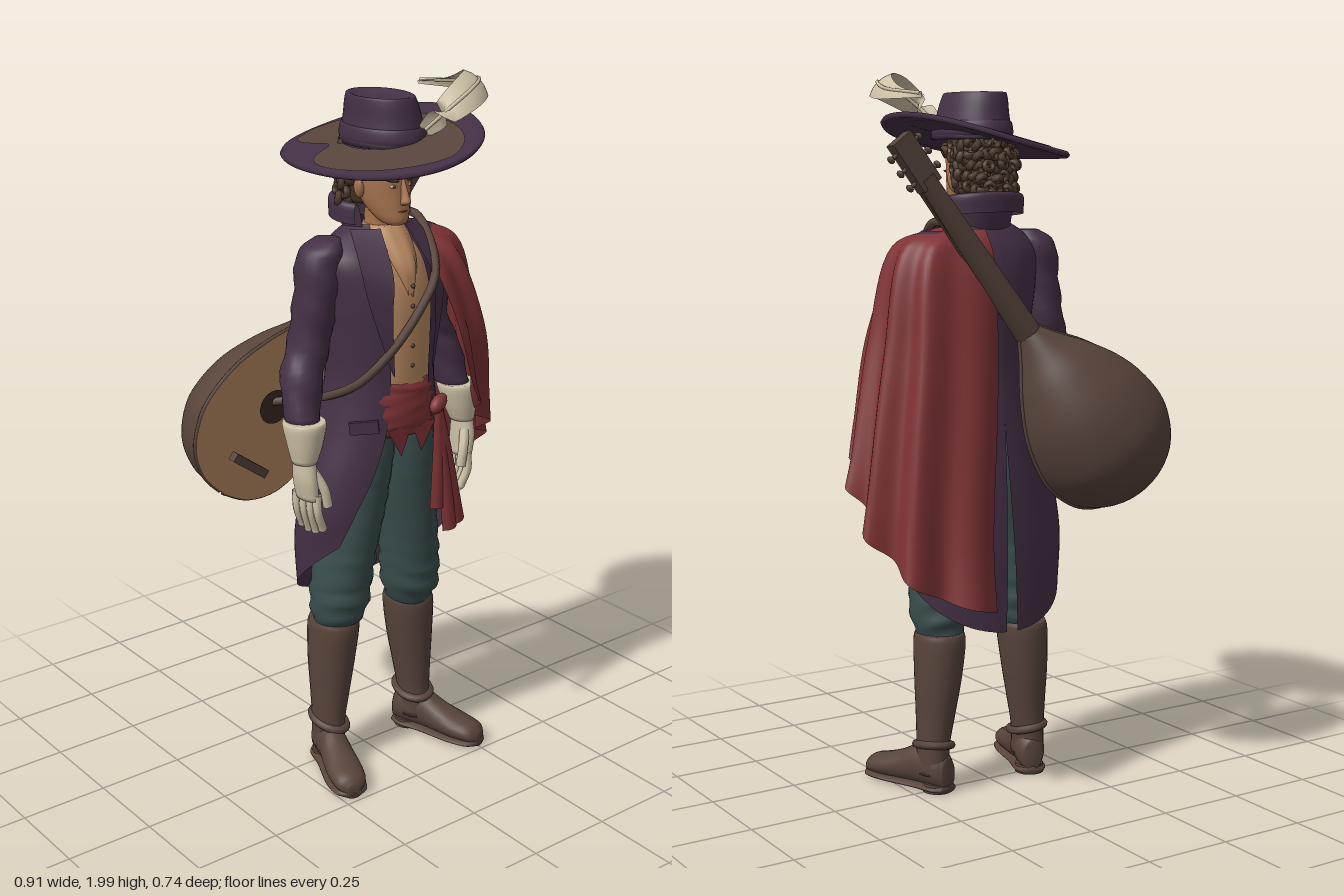
import * as THREE from 'three';

const mat = (name, color) => new THREE.MeshStandardMaterial({ name, color, side: THREE.DoubleSide });
const V = (x, y, z) => new THREE.Vector3(x, y, z);
const CX = 0.02; // body centre line

// Surface through a grid of points; rows run from top to bottom, columns counter-clockwise.
function skin(grid, closed = false, caps = false) {
  const pos = [], idx = [], n = grid[0].length, m = grid.length;
  grid.forEach(r => r.forEach(p => pos.push(p.x, p.y, p.z)));
  for (let j = 0; j < m - 1; j++) for (let i = 0; i < (closed ? n : n - 1); i++) {
    const k = (i + 1) % n, a = j * n + i, b = j * n + k;
    idx.push(a, a + n, b, b, a + n, b + n);
  }
  if (caps) [0, m - 1].forEach((j, top) => {
    const c = grid[j].reduce((s, p) => s.add(p), V(0, 0, 0)).divideScalar(n), ci = pos.length / 3;
    pos.push(c.x, c.y, c.z);
    for (let i = 0; i < n; i++) {
      const a = j * n + i, b = j * n + (i + 1) % n;
      top ? idx.push(ci, b, a) : idx.push(ci, a, b);
    }
  });
  const g = new THREE.BufferGeometry();
  g.setAttribute('position', new THREE.Float32BufferAttribute(pos, 3));
  g.setIndex(idx);
  g.computeVertexNormals();
  return g;
}
const spline = (pts, n) => new THREE.CatmullRomCurve3(pts).getPoints(n);
function smoothCols(grid, n) {
  const cols = grid[0].map((_, i) => spline(grid.map(r => r[i]), n));
  return cols[0].map((_, j) => cols.map(c => c[j]));
}
// Stacked ellipses [x, y, z, rx, rz], listed top to bottom.
function rings(list, n = 22, fold = () => 0) {
  const grid = list.map(([x, y, z, rx, rz]) => Array.from({ length: n }, (_, i) => {
    const t = i / n * Math.PI * 2;
    return V(x + rx * Math.sin(t), y, z + rz * Math.cos(t));
  }));
  const g = smoothCols(grid, list.length * 4);
  g.forEach(r => r.forEach((p, i) => { p.z += fold(p.y, i / n * Math.PI * 2); }));
  return skin(g, true, true);
}
// Flat band along a path; half width w(t), lying square to up.
function ribbon(path, w, up, n = 24) {
  const c = new THREE.CatmullRomCurve3(path);
  return skin(Array.from({ length: n + 1 }, (_, i) => {
    const t = i / n, p = c.getPoint(t), s = c.getTangent(t).cross(up).normalize();
    return [-1, -0.5, 0, 0.5, 1].map(k => p.clone().addScaledVector(s, k * w(t)).addScaledVector(up, -0.012 * k * k));
  }));
}

export function createModel() {
  const M = {
    purple: mat('purple cloth', 0x443045), red: mat('red cloth', 0x7f3336), brown: mat('brown leather', 0x57443b),
    teal: mat('teal cloth', 0x3a4d4e), tan: mat('tan cloth and wood', 0xb78860), cream: mat('cream', 0xcdc1a6),
    skin: mat('skin', 0xa87450), hair: mat('dark hair', 0x4e3a2c), dark: mat('dark wood', 0x3a2a25),
  };
  const root = new THREE.Group();
  const add = (name, geo, m, parent = root, at = [0, 0, 0], rot = [0, 0, 0], scl = [1, 1, 1]) => {
    const o = new THREE.Mesh(geo, m);
    o.name = name;
    o.position.set(...at); o.rotation.set(...rot); o.scale.set(...scl);
    parent.add(o);
    return o;
  };
  const tube = (pts, r, n = 20) => new THREE.TubeGeometry(new THREE.CatmullRomCurve3(pts), n, r, 8);
  const ball = new THREE.SphereGeometry(1, 14, 10);

  // Torso: waistcoat, sash, neck and neckerchief
  add('waistcoat', rings([[CX, 1.585, 0.04, 0.05, 0.05], [CX, 1.54, 0.045, 0.11, 0.09], [CX, 1.44, 0.055, 0.135, 0.122],
    [CX, 1.3, 0.06, 0.135, 0.127], [CX, 1.12, 0.06, 0.13, 0.125]]), M.tan);
  for (let i = 0; i < 5; i++) add('waistcoatButton', ball, M.hair, root, [CX, 1.23 + i * 0.055, 0.186], [0, 0, 0], [0.006, 0.006, 0.006]);
  add('sash', rings([[CX, 1.185, 0.06, 0.13, 0.126], [CX, 1.15, 0.06, 0.138, 0.134], [CX, 1.06, 0.06, 0.142, 0.134], [CX, 1.03, 0.06, 0.14, 0.122]],
    32, (y, t) => 0.004 * Math.sin(y * 190 + Math.sin(t) * 4)), M.red);
  for (const s of [-1, 1]) add('waistcoatPoint', new THREE.ShapeGeometry(new THREE.Shape(
    [[0, 1.06], [s * 0.085, 1.06], [s * 0.035, 0.975]].map(p => new THREE.Vector2(...p)))), M.red, root, [CX, 0, 0.186]);
  add('sashKnot', ball, M.red, root, [0.115, 1.1, 0.185], [0, 0.3, 0.5], [0.036, 0.022, 0.02]);
  [[0.1, 0.8, 0.215], [0.14, 0.73, 0.225], [0.19, 0.73, 0.2]].forEach(([x, y, z]) => add('sashTail',
    ribbon([V(0.115, 1.1, 0.195), V(0.09 + x * 0.25, 0.98, 0.2), V(x, y, z)], t => 0.014 + 0.012 * t, V(0, 0, 1)), M.red));
  add('neck', rings([[0.015, 1.68, 0.06, 0.045, 0.05], [0.017, 1.6, 0.05, 0.043, 0.047], [CX, 1.53, 0.055, 0.06, 0.06]]), M.skin);
  add('neckerchief', rings([[CX, 1.6, 0.055, 0.05, 0.055], [CX, 1.57, 0.065, 0.062, 0.07], [CX, 1.5, 0.1, 0.05, 0.08], [CX, 1.42, 0.15, 0.015, 0.03]],
    22, (y, t) => 0.004 * Math.sin(t * 8)), M.tan);

  // Coat: half shells with a cutaway front and a slit tail [y, rx, rz, z, front gap, back slit, hem slope]
  const coat = [[1.6, 0.07, 0.06, 0.02, 0.045, 0, 0], [1.565, 0.132, 0.085, 0.02, 0.052, 0, 0], [1.515, 0.178, 0.12, 0.03, 0.064, 0, 0],
    [1.42, 0.174, 0.145, 0.037, 0.072, 0, 0], [1.3, 0.16, 0.146, 0.044, 0.067, 0, 0], [1.18, 0.154, 0.144, 0.044, 0.065, 0, 0],
    [1.05, 0.18, 0.152, 0.039, 0.079, 0, 0], [0.9, 0.224, 0.161, 0.029, 0.117, 0.005, 0.03], [0.76, 0.25, 0.166, 0.019, 0.162, 0.012, 0.08],
    [0.63, 0.242, 0.17, 0.019, 0.197, 0.018, 0.16]];
  const collar = [[1.545, 0.085, 0.07, 0.015], [1.61, 0.085, 0.08, 0.005], [1.665, 0.1, 0.085, -0.002], [1.66, 0.115, 0.095, -0.002], [1.61, 0.118, 0.097, 0]];
  for (const s of [-1, 1]) {
    const half = rows => smoothCols(rows.map(([y, rx, rz, cz, gap, slit, tilt]) => {
      const a = Math.asin(gap / rx), b = Math.PI - Math.asin(slit / rx);
      return Array.from({ length: 25 }, (_, i) => {
        const t = a + (b - a) * i / 24;
        return V(CX + s * rx * Math.sin(t), y + tilt * Math.cos(t), cz + rz * Math.cos(t));
      });
    }), 44);
    add('coatHalf', skin(half(coat)), M.purple);
    add('collar', skin(half(collar.map(([y, rx, rz, z]) => [y, rx, rz, z, rx * 0.8, 0, -0.01]))), M.purple);
    const P = (x, y, z) => V(CX + s * x, y, z);
    add('lapel', skin(smoothCols([
      [P(0.042, 1.595, 0.1), P(0.11, 1.595, 0.055)], [P(0.064, 1.48, 0.184), P(0.136, 1.51, 0.133)],
      [P(0.073, 1.38, 0.193), P(0.129, 1.42, 0.16)], [P(0.064, 1.21, 0.191), P(0.072, 1.22, 0.19)]], 16)), M.purple);
    add('pocketFlap', new THREE.BoxGeometry(0.08, 0.035, 0.012), M.purple, root, [CX + s * 0.135, 1.07, 0.148], [0, s * 0.75, s * -0.1]);

    // Sleeve, glove cuff and hand
    add('sleeve', rings([[CX + s * 0.15, 1.57, 0.015, 0.03, 0.04], [CX + s * 0.174, 1.537, 0.01, 0.056, 0.066], [CX + s * 0.19, 1.42, 0.01, 0.057, 0.067],
      [CX + s * 0.208, 1.29, 0, 0.057, 0.061], [CX + s * 0.24, 1.21, 0.012, 0.059, 0.059], [CX + s * 0.268, 1.08, 0.05, 0.046, 0.046]],
      22, (y, t) => 0.005 * Math.sin(y * 70 + t * 2)), M.purple);
    add('gloveCuff', rings([[CX + s * 0.27, 1.095, 0.06, 0.046, 0.046], [CX + s * 0.27, 1.095, 0.06, 0.058, 0.06], [CX + s * 0.274, 1.04, 0.068, 0.05, 0.052],
      [CX + s * 0.28, 0.985, 0.073, 0.034, 0.038]]), M.cream);
    add('palm', rings([[CX + s * 0.28, 1.0, 0.073, 0.028, 0.034], [CX + s * 0.28, 0.94, 0.076, 0.028, 0.044], [CX + s * 0.274, 0.88, 0.076, 0.022, 0.044]]), M.cream);
    for (let i = 0; i < 4; i++) {
      const z = 0.042 + i * 0.023, x = 0.286 - i * 0.006, tip = 0.8 - 0.018 * Math.sin((i + 0.5) * 0.8);
      add('finger', tube([P(x, 0.895, z), P(x, 0.845, z + 0.004), P(x - 0.02, tip, z - 0.002)], 0.0125, 8), M.cream);
      add('fingertip', ball, M.cream, root, [CX + s * (x - 0.02), tip, z - 0.002], [0, 0, 0], [0.0125, 0.0125, 0.0125]);
    }
    add('thumb', tube([P(0.268, 0.96, 0.1), P(0.248, 0.91, 0.118), P(0.238, 0.86, 0.12)], 0.014, 8), M.cream);

    // Breeches with bunched knees, and boots
    add('breeches', rings([[CX + s * 0.06, 1.06, 0.055, 0.075, 0.105], [CX + s * 0.075, 0.95, 0.045, 0.085, 0.115], [CX + s * 0.088, 0.83, 0.04, 0.086, 0.108],
      [CX + s * 0.108, 0.7, 0.04, 0.081, 0.095], [CX + s * 0.124, 0.58, 0.03, 0.084, 0.092], [CX + s * 0.13, 0.5, 0.025, 0.08, 0.088],
      [CX + s * 0.135, 0.44, 0.015, 0.06, 0.065]], 26, (y, t) => (y < 0.72 ? 0.006 : 0.003) * Math.sin(y * 100 + 2 * Math.sin(t + s))), M.teal);
    add('bootShaft', rings([[CX + s * 0.138, 0.455, 0.01, 0.066, 0.076], [CX + s * 0.138, 0.44, 0.01, 0.07, 0.081], [CX + s * 0.145, 0.33, 0.008, 0.064, 0.076],
      [CX + s * 0.153, 0.22, 0.01, 0.052, 0.065], [CX + s * 0.16, 0.13, 0.012, 0.043, 0.057], [CX + s * 0.162, 0.05, 0.015, 0.043, 0.058]]), M.brown);
    add('ankleFold', new THREE.TorusGeometry(0.045, 0.012, 8, 20), M.brown, root, [CX + s * 0.158, 0.13, 0.012], [Math.PI / 2 + 0.2, s * 0.15, 0], [1, 1.3, 1]);
    const foot = new THREE.Group();
    foot.name = 'foot';
    foot.position.set(CX + s * 0.162, 0, 0.012);
    foot.rotation.y = s * 0.33;
    root.add(foot);
    const F = [[0.235, 0.018, 0.016], [0.215, 0.042, 0.027], [0.16, 0.052, 0.035], [0.1, 0.048, 0.046], [0.04, 0.042, 0.06], [-0.03, 0.042, 0.058], [-0.06, 0.026, 0.045]];
    add('bootFoot', rings(F.map(([a, w, h]) => [0, a, -h - 0.008, w, h])), M.brown, foot, [0, 0, 0], [Math.PI / 2, 0, 0]);
    add('sole', rings(F.map(([a, w]) => [0, a, -0.012, w + 0.004, 0.012])), M.brown, foot, [0, 0, 0], [Math.PI / 2, 0, 0]);
    add('heel', new THREE.CylinderGeometry(0.04, 0.042, 0.026, 18), M.brown, foot, [0, 0.013, -0.018]);

    // Face features that mirror
    const f = (x, y, z) => [0.015 + s * x, y, z];
    add('eyeWhite', ball, M.cream, root, f(0.027, 1.713, 0.139), [0, s * 0.35, 0], [0.01, 0.0045, 0.006]);
    add('iris', ball, M.hair, root, f(0.027, 1.713, 0.143), [0, 0, 0], [0.0045, 0.0045, 0.004]);
    add('eyebrow', ball, M.hair, root, f(0.03, 1.729, 0.141), [0, s * 0.35, s * 0.12], [0.018, 0.004, 0.007]);
    add('ear', ball, M.skin, root, f(0.071, 1.7, 0.05), [0.2, 0, s * -0.2], [0.011, 0.028, 0.018]);
  }

  // Head, nose and mouth
  add('head', rings([[0.015, 1.85, 0.05, 0.04, 0.06], [0.015, 1.8, 0.055, 0.066, 0.088], [0.015, 1.74, 0.06, 0.068, 0.088], [0.015, 1.69, 0.065, 0.064, 0.083],
    [0.015, 1.65, 0.08, 0.054, 0.07], [0.015, 1.615, 0.105, 0.035, 0.045], [0.015, 1.605, 0.11, 0.02, 0.025]], 26), M.skin);
  add('nose', rings([[0.015, 1.73, 0.142, 0.006, 0.008], [0.015, 1.69, 0.155, 0.009, 0.013], [0.015, 1.672, 0.158, 0.013, 0.016], [0.015, 1.664, 0.15, 0.01, 0.012]], 12), M.skin);
  add('mouth', ball, M.red, root, [0.015, 1.645, 0.145], [0, 0, 0], [0.017, 0.003, 0.007]);

  // Curly hair: a cap with loose locks, falling lower towards the back
  add('hairCap', rings([[0.015, 1.84, 0.03, 0.06, 0.075], [0.015, 1.78, 0.022, 0.077, 0.088], [0.015, 1.71, 0.004, 0.072, 0.073], [0.015, 1.65, -0.005, 0.053, 0.053]]), M.hair);
  let seed = 7;
  const rnd = () => (seed = (seed * 16807) % 2147483647) / 2147483647;
  const curl = new THREE.TorusGeometry(0.012, 0.007, 6, 12);
  for (let j = 0; j < 6; j++) for (let i = 0; i < 14; i++) {
    const t0 = 1.8 - j * 0.12, t = t0 + i / 13 * 2 * (Math.PI - t0), y = 1.645 + j * 0.03, r = 0.068 + 0.012 * Math.sin(j * 0.6) + rnd() * 0.012;
    add('curl', curl, M.hair, root, [0.015 + r * Math.sin(t), y + rnd() * 0.015, 0.014 + r * 1.08 * Math.cos(t)], [rnd() * 3, t + rnd(), rnd() * 3], [1, 1, 1.6]);
  }
  for (let i = 0; i < 9; i++) {
    const t = -1.1 + i * 0.275;
    add('forelock', curl, M.hair, root, [0.015 + 0.07 * Math.sin(t), 1.778 + rnd() * 0.02, 0.06 + 0.09 * Math.cos(t)], [rnd(), t, rnd()], [1, 1, 1.5]);
  }
  for (const [x, y] of [[-0.09, 1.67], [-0.08, 1.71], [0.105, 1.7], [0.1, 1.74]])
    add('looseLock', curl, M.hair, root, [x, y, 0.005], [0.2, 0.9, x * 5], [1, 1.1, 1.5]);

  // Wide tilted hat, drooping more at the back: brim, worn patch, crown and band
  const brimPt = (k, t, dy) => {
    const x = 0.238 * k * Math.sin(t), c = Math.cos(t);
    return V(0.012 + x, 1.825 + 0.23 * x - (0.023 - 0.008 * c) * k * k * c * c + dy, 0.056 + 0.31 * k * c);
  };
  const loop = (kf, dy) => Array.from({ length: 56 }, (_, i) => {
    const t = i / 56 * Math.PI * 2;
    return brimPt(kf(t), t, dy);
  });
  const flat = k => () => k;
  add('hatBrim', skin([[0.3, 0.006], [0.5, 0.006], [0.7, 0.006], [0.85, 0.006], [0.98, 0.008], [1, 0], [0.98, -0.008], [0.8, -0.008], [0.55, -0.008], [0.3, -0.008]]
    .map(([k, dy]) => loop(flat(k), dy)), true), M.purple);
  const wear = t => 0.92 + 0.025 * Math.sin(3 * t) - 0.24 * Math.max(0, Math.sin(t)) - 0.4 * Math.exp(-(((t - 4.2) / 0.34) ** 2));
  add('wornBrimPatch', skin([0, 0.33, 0.66, 1].map(u => loop(t => 0.4 + (wear(t) - 0.4) * u, 0.0095)), true), M.brown);
  add('hatCrown', rings([[0.01, 1.93, 0.055, 0.045, 0.07], [0.01, 1.942, 0.055, 0.074, 0.106], [0.012, 1.93, 0.055, 0.08, 0.113],
    [0.018, 1.88, 0.055, 0.09, 0.124], [0.02, 1.815, 0.055, 0.103, 0.138]], 32), M.purple);
  add('hatBand', rings([[0.019, 1.866, 0.055, 0.09, 0.124], [0.019, 1.864, 0.055, 0.096, 0.13], [0.02, 1.835, 0.055, 0.102, 0.138], [0.02, 1.825, 0.055, 0.1, 0.136]], 32), M.purple);

  // Plume
  const plume = [V(0.06, 1.86, 0.18), V(0.1, 1.915, 0.225), V(0.17, 1.96, 0.232), V(0.25, 1.971, 0.17), V(0.295, 1.947, 0.05), V(0.275, 1.93, -0.1)];
  add('plume', ribbon(plume, t => 0.004 + 0.043 * Math.sin(Math.PI * Math.min(1, 0.08 + 0.92 * t)) ** 0.8, V(0.55, 0.7, 0.4).normalize(), 40), M.cream);
  add('plumeShaft', tube(plume, 0.005, 36), M.cream);

  // Cape over the left shoulder; each row runs from the front edge round to the back edge
  const cape = [
    [[0.1, 1.55, 0.1], [0.13, 1.565, 0.07], [0.15, 1.575, 0.04], [0.15, 1.578, 0], [0.13, 1.575, -0.04], [0.06, 1.575, -0.075]],
    [[0.105, 1.48, 0.175], [0.19, 1.505, 0.145], [0.258, 1.53, 0.07], [0.266, 1.53, -0.02], [0.21, 1.52, -0.085], [0.05, 1.5, -0.107]],
    [[0.165, 1.32, 0.197], [0.27, 1.3, 0.172], [0.335, 1.27, 0.06], [0.335, 1.23, -0.05], [0.26, 1.2, -0.14], [0.06, 1.16, -0.15]],
    [[0.243, 1.13, 0.16], [0.345, 1.06, 0.11], [0.405, 0.96, 0.02], [0.4, 0.86, -0.087], [0.31, 0.76, -0.188], [0.1, 0.72, -0.198]],
    [[0.28, 1.06, 0.135], [0.37, 0.96, 0.085], [0.425, 0.88, 0.008], [0.415, 0.74, -0.1], [0.32, 0.62, -0.21], [0.1, 0.545, -0.225]]];
  const drape = smoothCols(cape.map(r => spline(r.map(p => V(...p)), 72)), 32);
  drape.forEach((r, j) => r.forEach((p, i) => {
    const out = V(p.x - 0.14, 0, p.z).normalize();
    p.addScaledVector(out, 0.026 * (j / 32) * Math.sin(i / 72 * Math.PI * 11 + j * 0.03));
  }));
  add('cape', skin(drape), M.red);

  // Lute slung across the back, with strap
  const lute = new THREE.Group();
  lute.name = 'lute';
  lute.position.set(-0.242, 1.01, -0.157);
  lute.rotation.set(0.065, 0, -0.63);
  root.add(lute);
  const profile = new THREE.SplineCurve([[0, -0.21], [0.09, -0.193], [0.165, -0.137], [0.205, -0.05], [0.207, 0.03], [0.182, 0.125], [0.128, 0.222], [0.073, 0.295], [0.033, 0.355]]
    .map(p => new THREE.Vector2(...p))).getPoints(40).map(p => p.setX(Math.max(0, p.x)));
  const bowl = new THREE.LatheGeometry(profile, 32, Math.PI / 2, Math.PI), bp = bowl.attributes.position;
  for (let i = 0; i < bp.count; i++) bp.setZ(i, -0.211 * (Math.abs(bp.getZ(i)) / 0.208) ** 0.85); // slightly fuller back
  bowl.computeVertexNormals();
  add('luteBowl', bowl, M.brown, lute);
  const outline = [...profile, ...profile.slice(1).reverse().map(p => new THREE.Vector2(-p.x, p.y))];
  add('soundboard', new THREE.ShapeGeometry(new THREE.Shape(outline)), M.tan, lute, [0, 0, 0.004]);
  add('luteRim', tube(outline.map(p => V(p.x, p.y, -0.003)), 0.006, 90), M.brown, lute);
  add('soundHole', new THREE.CircleGeometry(0.05, 24), M.dark, lute, [0, 0.07, 0.008]);
  add('bridge', new THREE.BoxGeometry(0.13, 0.025, 0.025), M.brown, lute, [0, -0.105, 0.035]);
  add('fingerboard', new THREE.BoxGeometry(0.052, 0.72, 0.014), M.brown, lute, [0, 0.51, 0.02]);
  add('luteNeck', new THREE.CylinderGeometry(0.026, 0.04, 0.58, 14), M.brown, lute, [0, 0.58, -0.002]);
  add('pegHead', new THREE.BoxGeometry(0.066, 0.15, 0.038), M.brown, lute, [0, 0.92, 0]);
  for (const s of [-1, 1]) for (let i = 0; i < 3; i++) {
    add('peg', new THREE.CylinderGeometry(0.006, 0.006, 0.03, 8), M.brown, lute, [s * 0.04, 0.875 + i * 0.045, 0], [0, 0, Math.PI / 2]);
    add('pegKnob', ball, M.brown, lute, [s * 0.053, 0.875 + i * 0.045, 0], [0, 0, 0], [0.007, 0.011, 0.013]);
  }
  add('strap', tube([V(0.06, 1.42, -0.13), V(0.13, 1.55, -0.09), V(0.165, 1.595, 0), V(0.14, 1.545, 0.11), V(0.09, 1.465, 0.19), V(0.02, 1.375, 0.203),
    V(-0.06, 1.275, 0.185), V(-0.12, 1.195, 0.135), V(-0.15, 1.14, 0.04), V(-0.16, 1.1, -0.08), V(-0.2, 1.08, -0.15)], 0.012, 60), M.brown);
  return root;
}
